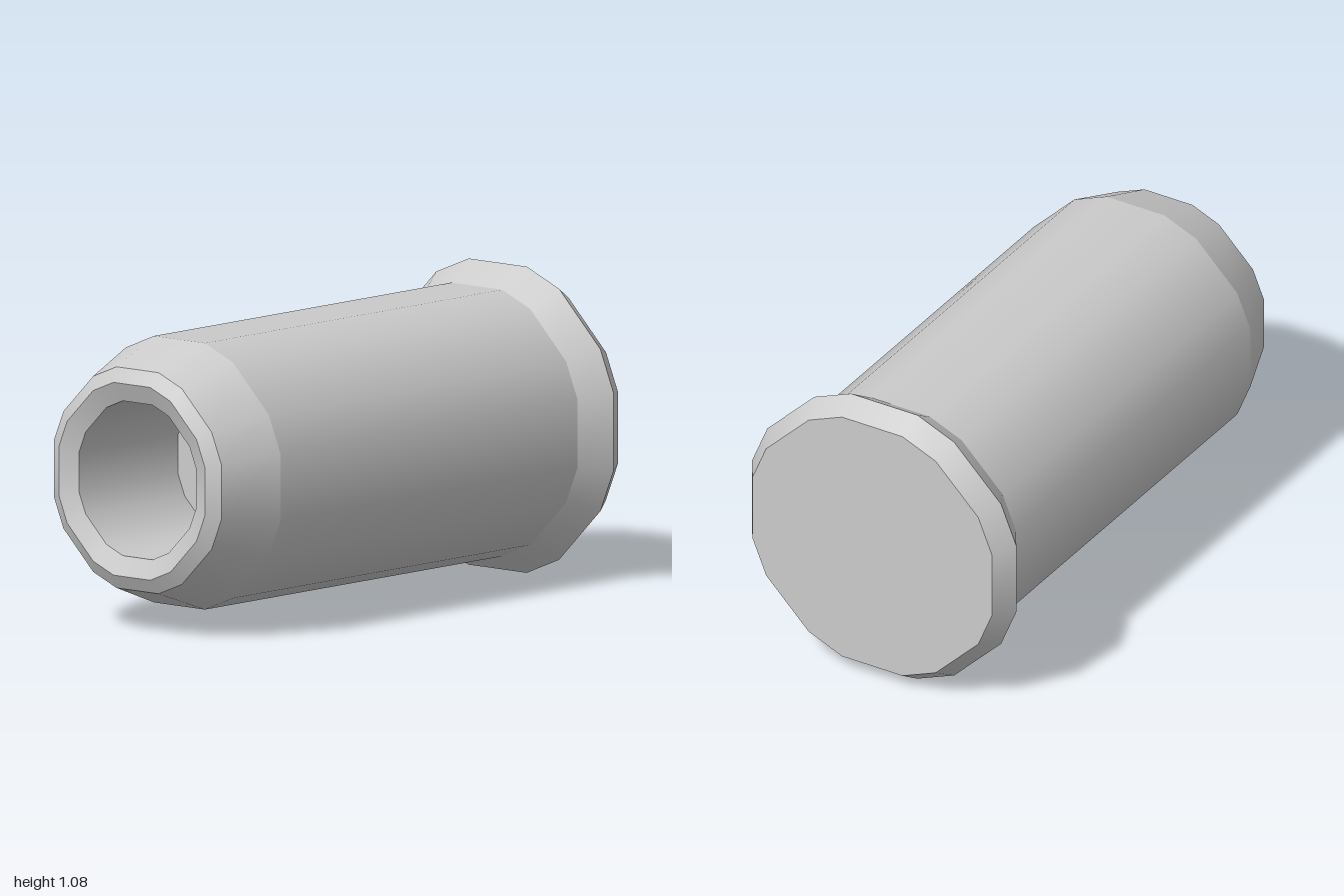
import * as THREE from 'three';
import { mergeGeometries } from 'three/addons/utils/BufferGeometryUtils.js';

const SIDES = 16;
const HALF = THREE.MathUtils.degToRad(14.1); // half angle of each wide side
const UP = new THREE.Vector3(0, 1, 0);

// One band of the surface between two [apothem, z] points:
// an octagon with bevelled corners, i.e. wide and narrow sides in turn.
function band(a, b) {
  const pts = [a, b].map(([r, z]) => new THREE.Vector2(r / Math.cos(HALF), z));
  const geo = new THREE.LatheGeometry(pts, SIDES);
  const v = new THREE.Vector3();
  const step = (2 * Math.PI) / SIDES;
  for (const attr of [geo.attributes.position, geo.attributes.normal]) {
    for (let k = 0; k < attr.count; k++) {
      const column = Math.floor(k / pts.length);
      const turn = column % 2 ? HALF - step : -HALF;
      v.fromBufferAttribute(attr, k).applyAxisAngle(UP, turn);
      attr.setXYZ(k, v.x, v.y, v.z);
    }
  }
  return geo.rotateX(Math.PI / 2);
}

// Smooth around the axis, sharp between bands
function part(name, profile, material) {
  const bands = profile.slice(1).map((p, i) => band(profile[i], p));
  const mesh = new THREE.Mesh(mergeGeometries(bands), material);
  mesh.name = name;
  mesh.position.y = 0.54;
  return mesh;
}

export function createModel() {
  const group = new THREE.Group();
  group.name = 'flangedSleeve';
  const grey = new THREE.MeshStandardMaterial({ color: 0xcccccc });

  group.add(
    // closed back end with its flared rim
    part('flange', [[0, -1], [0.49, -1], [0.54, -0.92], [0.47, -0.81]], grey),
    // long straight body
    part('barrel', [[0.47, -0.81], [0.47, 0.75]], grey),
    // tapered front end with bevelled lip
    part('nose', [[0.47, 0.75], [0.39, 0.97], [0.34, 1], [0.273, 0.97]], grey),
    // blind hole in the front
    part('bore', [[0.273, 0.97], [0.273, 0.45], [0, 0.45]], grey),
  );
  return group;
}
